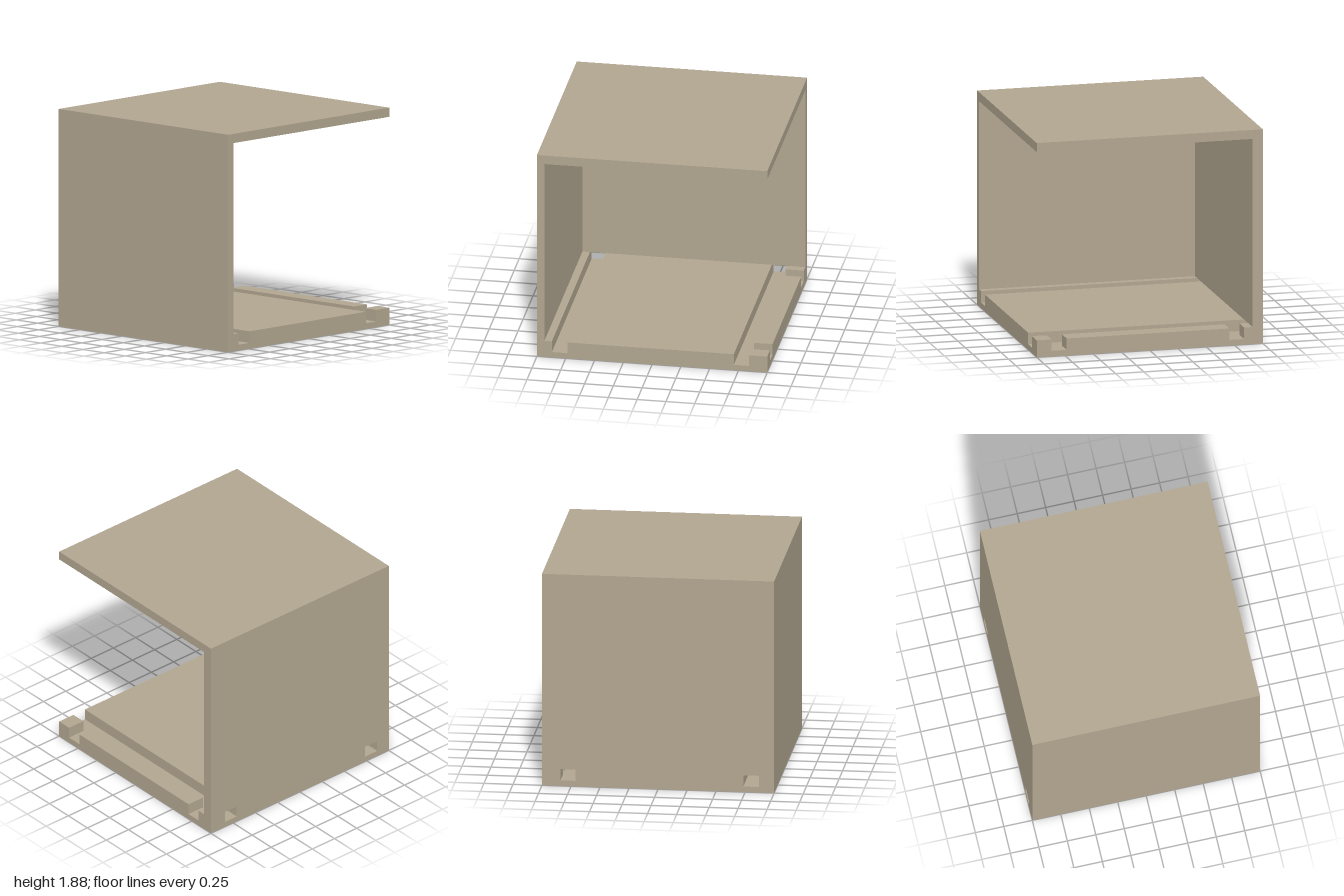
import * as THREE from 'three';

export function createModel() {
  const group = new THREE.Group();
  const tan = new THREE.MeshStandardMaterial({ color: 0xb1a58f });
  tan.name = 'tan';

  const H = 1.885;        // overall height
  const FLOOR = 0.15;     // floor top
  const GROOVE = 0.05;    // groove bottom
  const CEIL = 1.805;     // underside of the roof
  const INNER = -0.91;    // inner face of the side wall
  const frontGroove = [0.735, 0.87];
  const backGroove = [-0.84, -0.71];

  const add = (name, geometry) => {
    const mesh = new THREE.Mesh(geometry, tan);
    mesh.name = name;
    group.add(mesh);
  };

  // Extrude a (z, y) outline along x from x0 to x1
  const extrudeX = (shape, x0, x1) =>
    new THREE.ExtrudeGeometry(shape, { depth: x1 - x0, bevelEnabled: false })
      .rotateY(-Math.PI / 2)
      .translate(x1, 0, 0);
  const outline = (pts) => pts.map(([z, y]) => new THREE.Vector2(z, y));

  // Grooved floor, front wall and roof as one C-shaped section
  const shell = new THREE.Shape(outline([
    [-1, 0], [1, 0], [1, H], [-1, H], [-1, CEIL], [0.935, CEIL],
    [0.935, FLOOR], [frontGroove[1], FLOOR], [frontGroove[1], GROOVE],
    [frontGroove[0], GROOVE], [frontGroove[0], FLOOR],
    [backGroove[1], FLOOR], [backGroove[1], GROOVE], [-1, GROOVE],
  ]));
  add('floorFrontAndRoof', extrudeX(shell, INNER, 1));

  // Side wall, with a hole where each groove passes through
  const wall = new THREE.Shape(outline([[-1, 0], [1, 0], [1, H], [-1, H]]));
  for (const [a, b] of [frontGroove, backGroove]) {
    wall.holes.push(new THREE.Path(outline([[a, GROOVE], [a, FLOOR], [b, FLOOR], [b, GROOVE]])));
  }
  add('sideWall', extrudeX(wall, -1, INNER));

  // Back rim, broken by two notches
  for (const [name, x0, x1] of [
    ['backRimStub', INNER, -0.835],
    ['backRim', -0.705, 0.735],
    ['backRimCorner', 0.87, 1],
  ]) {
    const depth = backGroove[0] + 1;
    add(name, new THREE.BoxGeometry(x1 - x0, FLOOR - GROOVE, depth)
      .translate((x0 + x1) / 2, (FLOOR + GROOVE) / 2, -1 + depth / 2));
  }

  return group;
}
